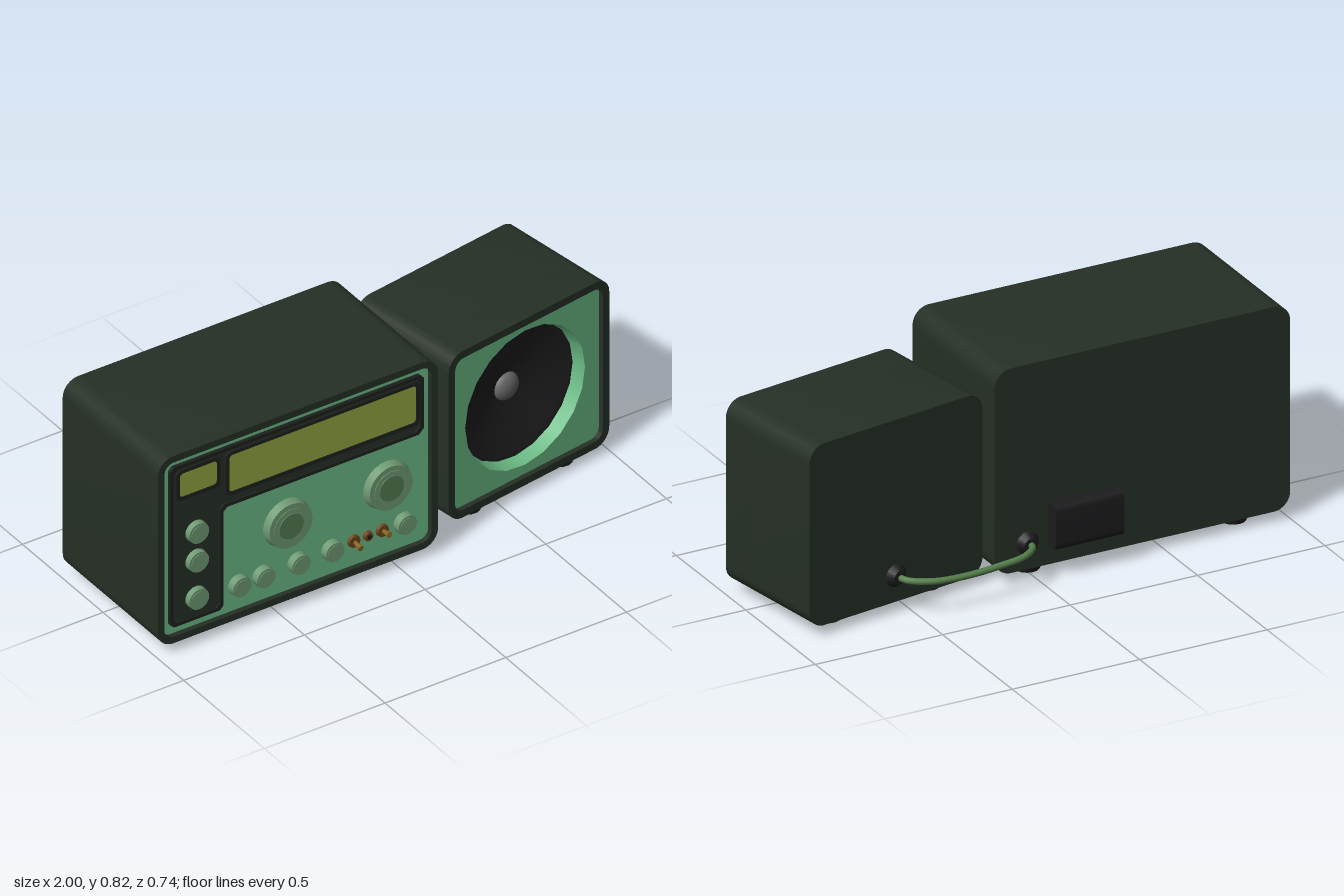
import * as THREE from 'three';
import { toCreasedNormals } from 'three/addons/utils/BufferGeometryUtils.js';

const paint = (color, extra = {}) => new THREE.MeshStandardMaterial({ color, ...extra });
const MAT = {
  body: paint(0x263026),
  trim: paint(0x1c211c),
  panel: paint(0x6cbc86),
  panelOpen: paint(0x6cbc86, { side: THREE.DoubleSide }),
  knob: paint(0x6f9a74),
  knobTop: paint(0x557d52),
  display: paint(0x93a640),
  rubber: paint(0x1c1c1e),
  cone: paint(0x1e1e20, { side: THREE.DoubleSide }),
  cap: paint(0x666666),
  cable: paint(0x56804c),
  brass: paint(0x8a6a22),
  copper: paint(0x70451c),
};

function add(parent, name, geometry, material, x = 0, y = 0, z = 0) {
  const mesh = new THREE.Mesh(geometry, material);
  mesh.name = name;
  mesh.position.set(x, y, z);
  parent.add(mesh);
  return mesh;
}

// Rounded rectangle given by its edges
function roundRect(x0, y0, x1, y1, r, Type = THREE.Shape) {
  const s = new Type();
  s.moveTo(x0 + r, y0);
  s.lineTo(x1 - r, y0);
  s.absarc(x1 - r, y0 + r, r, -Math.PI / 2, 0);
  s.lineTo(x1, y1 - r);
  s.absarc(x1 - r, y1 - r, r, 0, Math.PI / 2);
  s.lineTo(x0 + r, y1);
  s.absarc(x0 + r, y1 - r, r, Math.PI / 2, Math.PI);
  s.lineTo(x0, y0 + r);
  s.absarc(x0 + r, y0 + r, r, Math.PI, Math.PI * 1.5);
  return s;
}

function extrude(shape, depth, bevel = 0) {
  const g = new THREE.ExtrudeGeometry(shape, {
    depth: depth - bevel, curveSegments: 7, bevelEnabled: bevel > 0,
    bevelThickness: bevel, bevelSize: bevel, bevelOffset: -bevel, bevelSegments: 1,
  });
  return toCreasedNormals(g, 0.5);
}

// Cylinder whose axis points to +z, starting at its base
function dial(radiusBase, radiusTop, depth, sides = 24) {
  return new THREE.CylinderGeometry(radiusTop, radiusBase, depth, sides)
    .rotateX(Math.PI / 2).translate(0, 0, depth / 2);
}

// Cabinet: solid back part plus a rim around the recessed front
function cabinet(parent, w, y0, y1, back, front, recess, rim, r) {
  const outer = () => roundRect(-w / 2, y0, w / 2, y1, r);
  add(parent, 'cabinet', extrude(outer(), front - recess - back), MAT.body, 0, 0, back);
  const frame = outer();
  frame.holes.push(roundRect(-w / 2 + rim, y0 + rim, w / 2 - rim, y1 - rim, r * 0.6, THREE.Path));
  add(parent, 'frontFrame', extrude(frame, recess), MAT.body, 0, 0, front - recess);
}

function feet(parent, xs, zs) {
  for (const x of xs) for (const z of zs)
    add(parent, 'foot', new THREE.CylinderGeometry(0.06, 0.046, 0.045, 14), MAT.rubber, x, 0.0225, z);
}

function knob(parent, name, x, y, z, r, depth) {
  const g = new THREE.Group();
  g.name = name;
  g.position.set(x, y, z);
  add(g, 'knobSkirt', dial(r, r * 0.93, depth), MAT.knob);
  add(g, 'knobFace', dial(r * 0.76, r * 0.72, depth + 0.002), MAT.knob);
  parent.add(g);
  return g;
}

function buildRadio() {
  const radio = new THREE.Group();
  radio.name = 'radio';
  const cx = -0.42, floor = 0.32;
  const shell = new THREE.Group();
  shell.name = 'radioShell';
  shell.position.x = cx;
  radio.add(shell);
  cabinet(shell, 1.16, 0.04, 0.82, -0.25, 0.34, 0.035, 0.027, 0.065);

  // Front panel
  add(radio, 'frontPanel', extrude(roundRect(-0.975, 0.065, 0.135, 0.795, 0.035), 0.018), MAT.panel, 0, 0, floor - 0.018);

  // L-shaped dark plate with a raised rim
  const ell = (d, Type = THREE.Shape) => new Type([
    [-0.945 + d, 0.115 + d], [-0.93 + d, 0.1 + d], [-0.74 - d, 0.1 + d], [-0.725 - d, 0.115 + d],
    [-0.725 - d, 0.505 + d], [-0.71 - d, 0.52 + d], [0.085 - d, 0.52 + d], [0.105 - d, 0.54 + d],
    [0.105 - d, 0.75 - d], [0.09 - d, 0.765 - d], [-0.93 + d, 0.765 - d], [-0.945 + d, 0.75 - d],
  ].map(([x, y]) => new THREE.Vector2(x, y)));
  add(radio, 'darkPlate', extrude(ell(0.005), 0.008), MAT.body, 0, 0, floor);
  const rim = ell(0);
  rim.holes.push(ell(0.013, THREE.Path));
  add(radio, 'plateRim', extrude(rim, 0.015), MAT.trim, 0, 0, floor);

  // Displays with their bezels
  for (const [name, x0, y0, x1, y1] of [
    ['smallDisplay', -0.905, 0.63, -0.75, 0.728], ['tuningDisplay', -0.7, 0.575, 0.075, 0.728]]) {
    const bezel = roundRect(x0 - 0.014, y0 - 0.014, x1 + 0.014, y1 + 0.014, 0.022);
    bezel.holes.push(roundRect(x0, y0, x1, y1, 0.015, THREE.Path));
    add(radio, name + 'Bezel', extrude(bezel, 0.014), MAT.trim, 0, 0, floor);
    add(radio, name, extrude(roundRect(x0, y0, x1, y1, 0.015), 0.011), MAT.display, 0, 0, floor);
  }

  // Knobs and buttons
  for (const y of [0.465, 0.345, 0.19]) knob(radio, 'sideButton', -0.835, y, floor, 0.044, 0.03);
  for (const x of [-0.655, -0.555, -0.41, -0.27, 0.03]) knob(radio, 'lowerButton', x, 0.17, floor, 0.041, 0.028);
  for (const x of [-0.455, -0.04]) {
    const k = knob(radio, 'largeKnob', x, 0.353, floor, 0.096, 0.03);
    add(k, 'knobCentre', dial(0.056, 0.05, 0.035), MAT.knobTop);
  }

  // Toggle switches and the socket between them
  for (const [x, tilt] of [[-0.178, 0.12], [-0.06, -0.12]]) {
    add(radio, 'switchCollar', dial(0.025, 0.023, 0.012, 12), MAT.copper, x, 0.17, floor);
    add(radio, 'switchLever', dial(0.006, 0.011, 0.05, 10), MAT.brass, x, 0.17, floor).rotation.x = tilt;
  }
  add(radio, 'socket', dial(0.019, 0.017, 0.014, 12), MAT.copper, -0.12, 0.17, floor);
  add(radio, 'socketHole', dial(0.009, 0.009, 0.016, 10), MAT.rubber, -0.12, 0.17, floor);

  // Power block on the back, with rounded outer edges
  const s = new THREE.Shape();
  s.moveTo(0, 0.11);
  s.lineTo(0, 0.28);
  s.lineTo(0.03, 0.28);
  s.quadraticCurveTo(0.055, 0.28, 0.055, 0.255);
  s.lineTo(0.055, 0.135);
  s.quadraticCurveTo(0.055, 0.11, 0.03, 0.11);
  const block = add(radio, 'powerBlock', extrude(s, 0.27), MAT.rubber, -0.05, 0, -0.25);
  block.rotation.y = Math.PI / 2;
  block.position.x = -0.32;
  block.scale.x = 1;

  feet(radio, [-0.825, -0.015], [0.24, -0.16]);
  return radio;
}

function buildSpeaker() {
  const speaker = new THREE.Group();
  speaker.name = 'speaker';
  speaker.position.set(0.59, 0, -0.028);
  speaker.rotation.y = 0.153;
  const front = 0.2375, face = front - 0.02, cy = 0.387;
  cabinet(speaker, 0.75, 0.04, 0.733, -0.2375, front, 0.15, 0.03, 0.065);

  // Baffle with a round opening
  const baffle = roundRect(-0.347, 0.068, 0.347, 0.705, 0.04);
  const opening = new THREE.Path();
  for (let i = 0; i <= 20; i++) {
    const a = (i / 20) * Math.PI * 2, x = Math.sin(a) * 0.28, y = cy - Math.cos(a) * 0.28;
    i ? opening.lineTo(x, y) : opening.moveTo(x, y);
  }
  baffle.holes.push(opening);
  add(speaker, 'baffle', extrude(baffle, 0.015), MAT.panel, 0, 0, face - 0.015);

  // Opening wall, cone and dust cap, turned about the z axis
  const turned = (name, pts, mat) => add(speaker, name,
    new THREE.LatheGeometry(pts.map(p => new THREE.Vector2(...p)), 20).rotateX(Math.PI / 2), mat, 0, cy, face);
  turned('openingWall', [[0.28, 0], [0.268, -0.05]], MAT.panelOpen);
  turned('speakerCone', [[0.27, -0.05], [0.25, -0.05], [0.15, -0.08], [0.04, -0.1], [0, -0.1]], MAT.cone);
  add(speaker, 'dustCap', new THREE.SphereGeometry(0.055, 20, 8, 0, Math.PI * 2, 0, Math.PI / 2)
    .scale(1, 0.6, 1).rotateX(Math.PI / 2), MAT.cap, 0, cy, face - 0.1);

  feet(speaker, [-0.215, 0.215], [0.16, -0.13]);
  add(speaker, 'cableGrommet', dial(0.044, 0.026, 0.025, 14).rotateY(Math.PI), MAT.rubber, 0, 0.14, -0.2375);
  return speaker;
}

export function createModel() {
  const model = new THREE.Group();
  model.name = 'radioSet';
  model.add(buildRadio(), buildSpeaker());

  // Cable joining the two cabinets
  add(model, 'cableGrommet', dial(0.044, 0.026, 0.025, 14).rotateY(Math.PI), MAT.rubber, 0.03, 0.14, -0.25);
  const path = new THREE.CatmullRomCurve3([
    [0.025, 0.14, -0.255], [0.035, 0.14, -0.295], [0.09, 0.136, -0.335], [0.2, 0.13, -0.35],
    [0.33, 0.126, -0.356], [0.45, 0.13, -0.35], [0.535, 0.136, -0.31], [0.555, 0.14, -0.265],
  ].map(p => new THREE.Vector3(...p)));
  add(model, 'cable', new THREE.TubeGeometry(path, 40, 0.012, 10), MAT.cable);
  return model;
}
